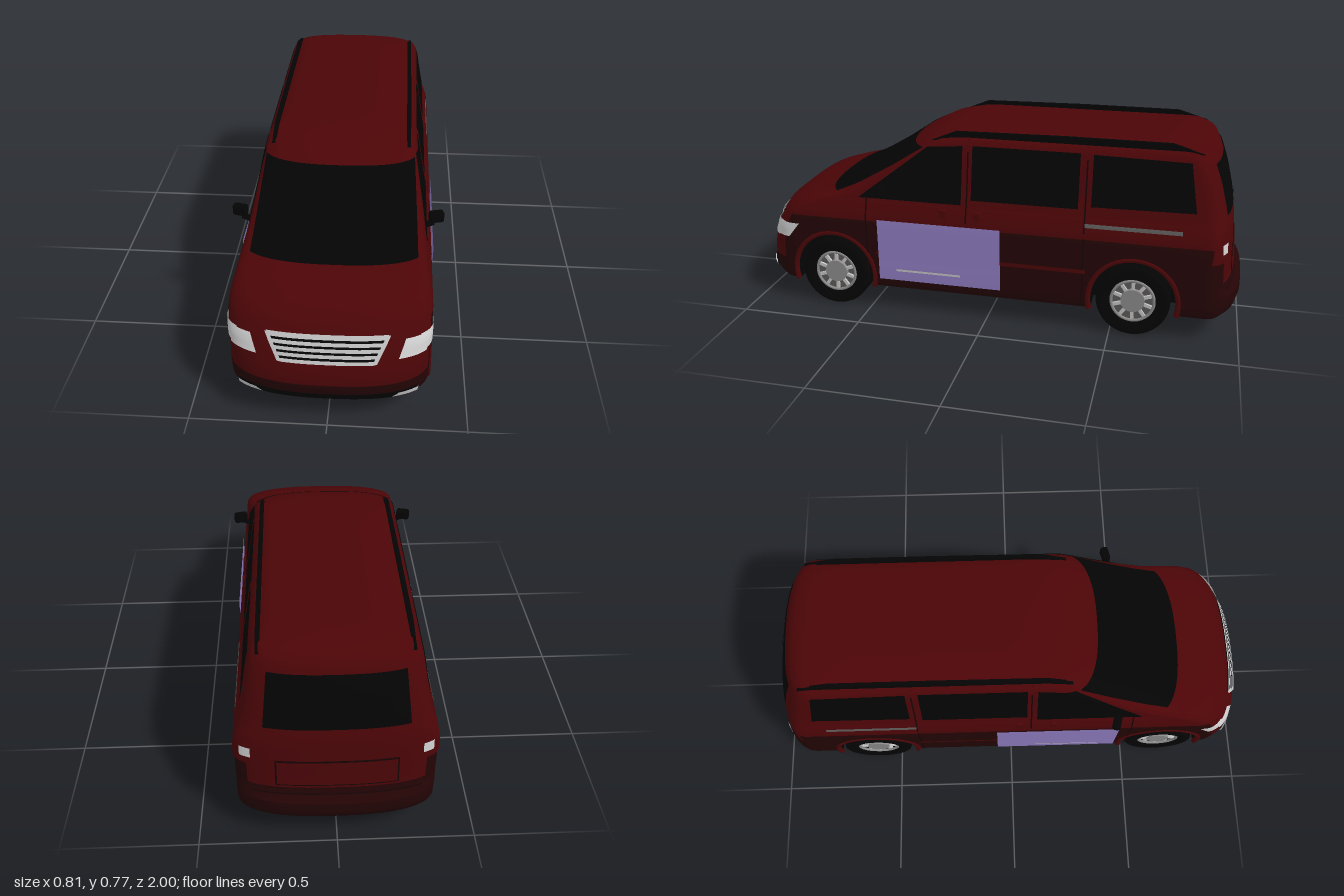
import * as THREE from 'three';
import { toCreasedNormals } from 'three/addons/utils/BufferGeometryUtils.js';
import { RoundedBoxGeometry } from 'three/addons/geometries/RoundedBoxGeometry.js';

const mat = (name, color) => {
  const m = new THREE.MeshStandardMaterial({ color, side: THREE.DoubleSide });
  m.name = name;
  return m;
};

// Body levels: height, half width, front z, back z
const LEVELS = [
  [.10, .350, .96, -.96], [.12, .357, .985, -.99], [.15, .358, 1, -1], [.19, .359, 1, -.998],
  [.21, .359, 1, -.97], [.24, .359, .993, -.965], [.27, .36, .984, -.962], [.30, .36, .97, -.96],
  [.34, .361, .953, -.958], [.39, .362, .925, -.954], [.41, .36, .91, -.953], [.445, .351, .866, -.95],
  [.47, .342, .785, -.945], [.49, .335, .70, -.94], [.53, .327, .61, -.932], [.617, .311, .464, -.91],
  [.66, .304, .40, -.895], [.70, .297, .34, -.88], [.73, .284, .28, -.865], [.745, .264, .22, -.84],
  [.755, .22, .15, -.79], [.762, .10, .03, -.70],
];
const ARCHES = [.65, -.587], ARCH_R = .17, HUB_Y = .145;

// Body dimensions at height y, with the z where the end corners begin
function level(y) {
  let k = 0;
  while (k < LEVELS.length - 2 && LEVELS[k + 1][0] < y) k++;
  const a = LEVELS[k], b = LEVELS[k + 1];
  const t = THREE.MathUtils.clamp((y - a[0]) / (b[0] - a[0]), 0, 1);
  const [w, f, r] = [1, 2, 3].map(i => a[i] + (b[i] - a[i]) * t);
  return { w, f, r, fc: Math.min(.82, f - .14), rc: Math.max(-.86, r + .1) };
}
const round = q => Math.pow(Math.max(0, 1 - Math.pow(Math.min(1, Math.max(0, q)), 2.5)), .4);

// Half width of the side at (z, y), and z of the front or back at (x, y)
function sideX(z, y) {
  const l = level(y);
  if (z > l.fc) return l.w * round((z - l.fc) / (l.f - l.fc));
  if (z < l.rc) return l.w * round((l.rc - z) / (l.rc - l.r));
  return l.w;
}
function endZ(x, y, dir) {
  const l = level(y), q = round(Math.abs(x) / l.w);
  return dir > 0 ? l.fc + (l.f - l.fc) * q : l.rc + (l.r - l.rc) * q;
}
function sillY(z) {
  const d = Math.min(...ARCHES.map(c => Math.abs(z - c)));
  return d < ARCH_R - .0001 ? Math.max(.1, HUB_Y + Math.sqrt(ARCH_R ** 2 - d * d)) : .1;
}

// Shell of stacked outlines, sills raised over the wheels; group 0 is upper paint, group 1 lower paint
function bodyGeometry() {
  const cols = [], M = 14;
  for (let i = 0; i <= M; i++) cols.push({ dir: 1, th: i / M * Math.PI / 2 });
  for (let k = 1; k <= 14; k++) cols.push({ z: ARCHES[0] + ARCH_R * Math.cos(k / 14 * Math.PI) });
  for (const z of [.3, .1, -.1, -.3]) cols.push({ z });
  for (let k = 0; k <= 14; k++) cols.push({ z: ARCHES[1] + ARCH_R * Math.cos(k / 14 * Math.PI) });
  for (let i = M; i >= 0; i--) cols.push({ dir: -1, th: i / M * Math.PI / 2 });
  const N = cols.length - 1, R = 2 * N, pos = [], upper = [], lower = [];
  const point = (c, y) => {
    const l = level(y);
    if (c.dir) {
      const s = Math.pow(Math.sin(c.th), .8), q = Math.pow(Math.max(0, Math.cos(c.th)), .8);
      return [l.w * s, y, c.dir > 0 ? l.fc + (l.f - l.fc) * q : l.rc + (l.r - l.rc) * q];
    }
    const z = l.rc + (l.fc - l.rc) * (c.z + .86) / 1.68;
    if (y < .34) {
      const b = sillY(z);
      y = b + (y - .1) / .24 * (.34 - b);
    }
    return [level(y).w, y, z];
  };
  for (const [y] of LEVELS) {
    const half = cols.map(c => point(c, y));
    for (const p of half) pos.push(...p);
    for (let i = N - 1; i > 0; i--) pos.push(-half[i][0], half[i][1], half[i][2]);
  }
  for (let j = 0; j < LEVELS.length - 1; j++) for (let i = 0; i < R; i++) {
    const a = j * R + i, b = j * R + (i + 1) % R, c = i < N ? i : R - 1 - i;
    const limit = c < M - 2 ? .19 : c >= N - 9 ? .24 : .39;
    (LEVELS[j][0] < limit ? lower : upper).push(a, b, b + R, a, b + R, a + R);
  }
  const top = (LEVELS.length - 1) * R;
  for (let i = 0; i < N; i++) {
    const p = top + i, m = top + (R - i) % R, m2 = top + R - i - 1;
    upper.push(p, p + 1, m2, p, m2, m);
  }
  const g = new THREE.BufferGeometry();
  g.setAttribute('position', new THREE.Float32BufferAttribute(pos, 3));
  g.setIndex([...upper, ...lower]);
  g.addGroup(0, upper.length, 0);
  g.addGroup(upper.length, lower.length, 1);
  return toCreasedNormals(g, .7);
}

export function createModel() {
  const van = new THREE.Group();
  van.name = 'van';
  const red = mat('red paint', 0x4c0507), darkRed = mat('dark red paint', 0x240405), seam = mat('dark seam', 0x160304);
  const black = mat('black glass and plastic', 0x040404), chrome = mat('chrome', 0xc4c4c4), lamp = mat('clear lamp', 0xd2d2d2);
  const hubGrey = mat('hub grey', 0x8a8a8a), purple = mat('purple panel', 0x8f7cc0), trim = mat('grey trim', 0x5c5858);

  const add = (name, geo, m, x = 0, y = 0, z = 0, parent = van) => {
    const o = new THREE.Mesh(geo, m);
    o.name = name;
    o.position.set(x, y, z);
    parent.add(o);
    return o;
  };
  // Thin sheet whose vertices follow fn(u, v)
  const sheet = (name, m, nu, nv, fn) => {
    const g = new THREE.PlaneGeometry(1, 1, nu, nv), p = g.attributes.position, uv = g.attributes.uv;
    for (let i = 0; i < p.count; i++) p.setXYZ(i, ...fn(uv.getX(i), uv.getY(i)));
    g.computeVertexNormals();
    return add(name, g, m);
  };
  const mix = (c, k, u, v) => (c[0][k] * (1 - u) + c[1][k] * u) * (1 - v) + (c[3][k] * (1 - u) + c[2][k] * u) * v;
  // Four corners (z, y) laid on both sides; u runs forward to back
  const onSides = (name, m, c, off = .003) => {
    for (const s of [1, -1]) sheet(name, m, 14, 12, (u, v) => {
      const z = mix(c, 0, s > 0 ? u : 1 - u, v), y = mix(c, 1, s > 0 ? u : 1 - u, v);
      return [s * (sideX(z, y) + off), y, z];
    });
  };
  // Four corners (x, y) laid on the front (dir 1) or back (dir -1)
  const onEnd = (name, m, c, dir, off = .004, n = 24) => sheet(name, m, n, 12, (u, v) => {
    if (dir < 0) u = 1 - u;
    const x = mix(c, 0, u, v), y = mix(c, 1, u, v);
    return [x * (1 + off / .36), y, endZ(x, y, dir) + dir * off];
  });
  const box = (a, b, y0, y1) => [[a, y0], [b, y0], [b, y1], [a, y1]];
  const flip = c => [c[1], c[0], c[3], c[2]].map(([x, y]) => [-x, y]);

  add('body', bodyGeometry(), [red, darkRed]);
  sheet('floor', black, 2, 160, (u, v) => {
    const z = -.955 + v * 1.91;
    return [(1 - 2 * u) * (sillY(z) > .1 ? .24 : sideX(z, .1)), .102, z];
  });

  // Glass
  onEnd('windscreen', black, [[-.303, .49], [.303, .49], [.284, .695], [-.284, .695]], 1);
  onEnd('rearWindow', black, [[-.25, .495], [.25, .495], [.232, .69], [-.232, .69]], -1);
  onSides('frontSideWindow', black, [[.535, .482], [.105, .482], [.105, .712], [.25, .70]]);
  onSides('middleSideWindow', black, box(.065, -.36, .503, .714));
  onSides('rearSideWindow', black, [[-.41, .515], [-.805, .52], [-.775, .705], [-.41, .712]]);
  for (const x of [-.27, -.03]) onEnd('wiper', black, [[x, .508], [x + .24, .498], [x + .24, .504], [x, .514]], 1, .008);
  onEnd('rearWiper', black, [[-.02, .51], [.16, .545], [.16, .552], [-.02, .522]], -1, .008);

  // Door seams, rails and panels
  for (const z of [.503, .085, -.385]) onSides('doorSeam', seam, box(z, z - .006, .12, z > .4 ? .48 : .735), .002);
  onSides('sideMoulding', red, box(.46, -.4, .248, .264), .005);
  onSides('slidingDoorRail', trim, box(-.39, -.76, .437, .452));
  onSides('doorPanel', purple, box(.45, -.06, .14, .40), .008);
  onSides('doorStrip', chrome, box(.375, .105, .182, .191), .011);
  for (const s of [1, -1]) for (const z of [.175, .035])
    add('doorHandle', new RoundedBoxGeometry(.014, .05, .03, 2, .006), red, s * .35, .437, z);

  // Front face
  onEnd('grilleBack', black, [[-.16, .28], [.16, .28], [.205, .368], [-.205, .368]], 1, .003);
  for (let i = 0; i < 5; i++) {
    const y = .277 + i * .0198, h = i === 4 ? .016 : .012, w = .158 + i * .0112;
    onEnd('grilleBar', chrome, [[-w, y], [w, y], [w + .005, y + h], [-w - .005, y + h]], 1, .008);
  }
  onEnd('lowerIntake', black, box(-.31, .31, .118, .156), 1);
  const headlight = [[.243, .288], [.338, .287], [.35, .352], [.265, .352]];
  const foglight = [[.222, .13], [.31, .13], [.312, .152], [.245, .152]];
  const grilleSide = [[.153, .279], [.168, .279], [.212, .37], [.197, .37]];
  for (const mir of [c => c, flip]) {
    onEnd('headlight', lamp, mir(headlight), 1, .005);
    onEnd('fogLight', lamp, mir(foglight), 1, .008);
    onEnd('grilleSide', chrome, mir(grilleSide), 1, .009, 6);
    onEnd('reversingLight', lamp, mir(box(.295, .333, .365, .405)), -1, .006);
  }
  onSides('headlightSide', lamp, [[.92, .29], [.845, .29], [.795, .352], [.89, .352]], .004);

  // Back face
  onSides('tailLight', red, [[-.875, .33], [-.93, .33], [-.925, .47], [-.885, .47]], .005);
  onEnd('plateRecess', seam, box(-.215, .215, .25, .362), -1, .002);
  onEnd('platePanel', red, box(-.208, .208, .256, .356), -1, .004);
  onEnd('tailgateSeam', seam, box(-.30, .30, .212, .217), -1, .003);

  // Roof rails and mirrors
  const railShape = new THREE.Shape([[.24, .72], [.14, .761], [-.3, .767], [-.7, .766], [-.82, .73], [-.7, .73], [.1, .73]]
    .map(([z, y]) => new THREE.Vector2(-z, y)));
  const rail = new THREE.ExtrudeGeometry(railShape, { depth: .016, bevelEnabled: false }).translate(0, 0, -.008).rotateY(Math.PI / 2);
  for (const s of [1, -1]) {
    add('roofRail', rail, black, s * .262);
    const mirror = add('mirror', new RoundedBoxGeometry(.058, .046, .032, 3, .01), black, s * .374, .528, .425);
    mirror.rotation.y = s * .25;
    const arm = add('mirrorArm', new THREE.BoxGeometry(.05, .014, .02), black, s * .343, .499, .435);
    arm.rotation.z = s * .4;
  }

  // Wheels with wells and arch lips
  const tyre = new THREE.LatheGeometry([[.086, -.055], [.132, -.055], [.141, -.05], [.145, -.038], [.145, .038],
    [.141, .05], [.132, .055], [.094, .052], [.088, .03]].map(([r, y]) => new THREE.Vector2(r, y)), 40).rotateZ(-Math.PI / 2);
  const disc = (r, h) => new THREE.CylinderGeometry(r, r, h, 32).rotateZ(Math.PI / 2);
  const arc = Math.PI + .54;
  const well = new THREE.CylinderGeometry(ARCH_R, ARCH_R, .115, 24, 1, true, -.27, arc).rotateZ(Math.PI / 2);
  const wellWall = new THREE.CircleGeometry(ARCH_R, 24, -.27, arc).rotateY(Math.PI / 2);
  const lip = new THREE.TorusGeometry(.176, .011, 8, 28, arc).rotateZ(-.27).rotateY(Math.PI / 2);
  for (const s of [1, -1]) for (const z of ARCHES) {
    add('wheelWell', well, black, s * .2975, HUB_Y, z);
    add('wheelWellWall', wellWall, black, s * .24, HUB_Y, z);
    add('archLip', lip, red, s * .354, HUB_Y, z);
    const wheel = new THREE.Group();
    wheel.name = 'wheel';
    wheel.position.set(s * .305, HUB_Y, z);
    wheel.rotation.y = s > 0 ? 0 : Math.PI;
    van.add(wheel);
    add('tyre', tyre, black, 0, 0, 0, wheel);
    add('rimDish', disc(.088, .06), trim, 0, 0, 0, wheel);
    add('rimRing', new THREE.TorusGeometry(.084, .006, 8, 40).rotateY(Math.PI / 2), hubGrey, .042, 0, 0, wheel);
    add('hubCap', disc(.047, .02), hubGrey, .036, 0, 0, wheel);
    for (let k = 0; k < 10; k++) {
      const spoke = new THREE.BoxGeometry(.012, .044, .013).translate(0, .062, 0).rotateX(k * Math.PI / 5);
      add('spoke', spoke, chrome, .034, 0, 0, wheel);
    }
  }
  return van;
}
